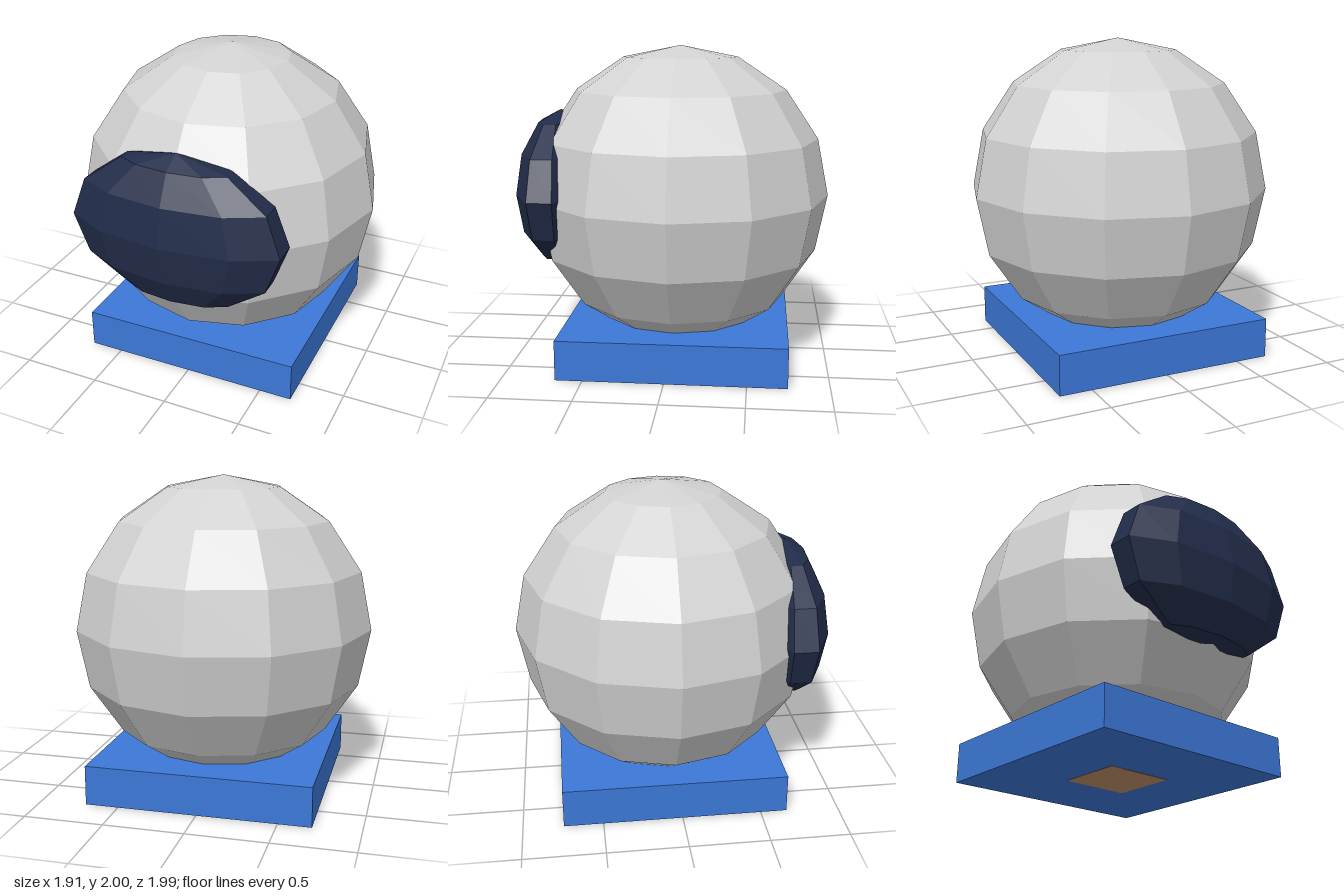
import * as THREE from 'three';

const CENTER_Z = -0.04;

function material(name, color) {
  const m = new THREE.MeshStandardMaterial({ color, flatShading: true });
  m.name = name;
  return m;
}

export function createModel() {
  const group = new THREE.Group();
  const grey = material('light grey', 0xd2d2d2);
  const navy = material('dark navy', 0x222d4a);
  const blue = material('blue', 0x3c78d8);
  const brown = material('tan brown', 0xc0926a);

  function add(name, geometry, mat, x, y, z) {
    const mesh = new THREE.Mesh(geometry, mat);
    mesh.name = name;
    mesh.position.set(x, y, z);
    group.add(mesh);
    return mesh;
  }

  // Faceted round head, sunk into the base
  add('head', new THREE.SphereGeometry(0.955, 12, 8), grey, 0, 1.045, CENTER_Z);

  // Flattened ten-sided visor with one ridge facing forward
  const visor = new THREE.SphereGeometry(1, 10, 6, Math.PI / 2);
  visor.scale(0.705, 0.495, 0.25);
  add('visor', visor, navy, 0, 1.09, 0.745);

  // Square base slab
  add('base', new THREE.BoxGeometry(1.414, 0.25, 1.414), blue, 0, 0.125, CENTER_Z);

  // Small square plate set flush in the underside
  add('bottomPlate', new THREE.BoxGeometry(0.45, 0.008, 0.42), brown, 0, 0.002, CENTER_Z);

  return group;
}
